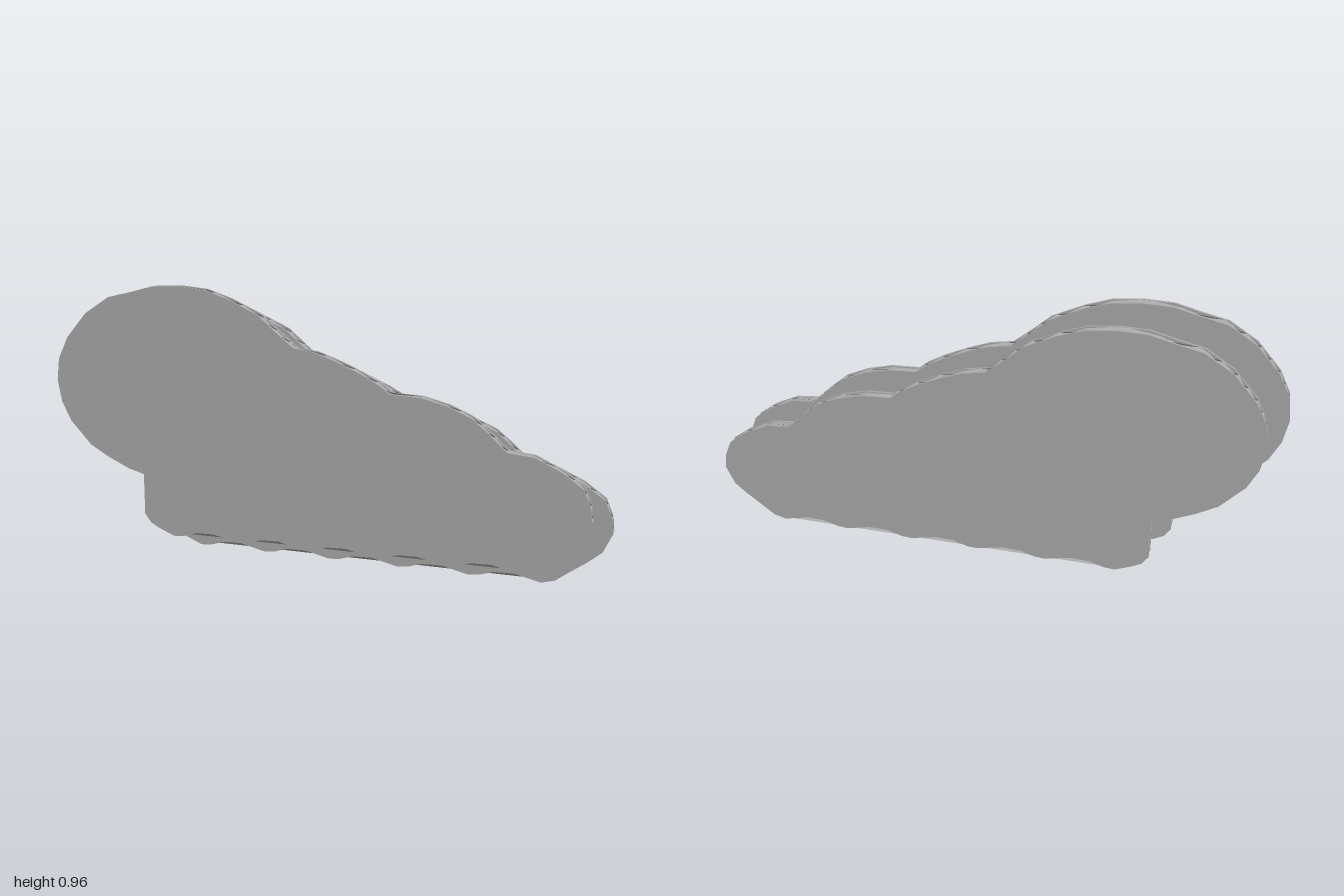
import * as THREE from 'three';

// Cloud outline, clockwise from the far left
const upper = [
  [-1, 0.61], [-0.99, 0.69], [-0.95, 0.77], [-0.87, 0.86], [-0.775, 0.92], [-0.685, 0.94],
  [-0.6, 0.962], [-0.5, 0.965], [-0.4, 0.955], [-0.31, 0.925], [-0.2, 0.875], [-0.13, 0.815],
  [-0.07, 0.767], [0.01, 0.754], [0.09, 0.725], [0.17, 0.69], [0.235, 0.655], [0.27, 0.628],
  [0.375, 0.623], [0.465, 0.6], [0.545, 0.565], [0.6, 0.52], [0.665, 0.46], [0.75, 0.452],
  [0.84, 0.41], [0.91, 0.36], [0.935, 0.3], [0.94, 0.25], [0.91, 0.185], [0.865, 0.147],
  [0.8, 0.1], [0.76, 0.07],
];
const lower = [
  [-0.6, 0.083], [-0.632, 0.1], [-0.655, 0.132], [-0.655, 0.28], [-0.715, 0.297],
  [-0.8, 0.335], [-0.87, 0.375], [-0.95, 0.46], [-0.985, 0.53],
];
// Scalloped bottom edge
const scallops = [];
for (let i = 5; i >= 0; i--) {
  const x = -0.54 + i * 0.251;
  if (i < 5) scallops.push([x + 0.16, 0.079], [x + 0.09, 0.077], [x + 0.04, 0.061]);
  scallops.push([x, 0.058]);
}
const outline = [...upper, ...scallops, ...lower];

function slab(name, depth, z, material, sx = 1, sy = 1, cx = 0, cy = 0) {
  const pts = outline.map(([x, y]) => new THREE.Vector2(cx + (x - cx) * sx, cy + (y - cy) * sy));
  const geo = new THREE.ExtrudeGeometry(new THREE.Shape(pts), { depth, bevelEnabled: false });
  const mesh = new THREE.Mesh(geo, material);
  mesh.name = name;
  mesh.position.z = z;
  return mesh;
}

// Horizontal extent of the outline at one height
function extent(y) {
  const xs = [];
  outline.forEach(([x0, y0], i) => {
    const [x1, y1] = outline[(i + 1) % outline.length];
    if ((y0 - y) * (y1 - y) < 0) xs.push(x0 + ((y - y0) / (y1 - y0)) * (x1 - x0));
  });
  return [Math.min(...xs), Math.max(...xs)];
}

// Zigzag sheet with flutes along x, cut to the outline
function fluteSheet(material) {
  const pos = [], index = [];
  const rows = 90;
  for (let i = 0; i <= rows; i++) {
    const y = 0.0591 + (0.9049 * i) / rows;
    const z = [-0.013, 0, 0.013, 0][i % 4];
    const [a, b] = extent(y);
    pos.push(a, y, z, b, y, z);
    if (i < rows) {
      const k = i * 2;
      index.push(k, k + 1, k + 3, k, k + 3, k + 2);
    }
  }
  const geo = new THREE.BufferGeometry();
  geo.setAttribute('position', new THREE.Float32BufferAttribute(pos, 3));
  geo.setIndex(index);
  const flat = geo.toNonIndexed();
  flat.computeVertexNormals();
  const mesh = new THREE.Mesh(flat, material);
  mesh.name = 'fluteSheet';
  return mesh;
}

export function createModel() {
  const card = new THREE.MeshStandardMaterial({ color: 0xaaaaaa, side: THREE.DoubleSide });
  card.name = 'grey card';
  const model = new THREE.Group();
  model.name = 'layeredCloud';

  // Two corrugated clouds, the back one shifted right and down
  for (const [name, x, y, z] of [['frontCloud', 0, 0, 0.0525], ['backCloud', 0.06, -0.058, -0.0525]]) {
    const cloud = new THREE.Group();
    cloud.name = name;
    cloud.add(
      slab('frontLiner', 0.009, 0.0135, card),
      slab('backLiner', 0.009, -0.0225, card),
      slab('core', 0.027, -0.0135, card, 0.992, 0.985, -0.1, 0.4),
      fluteSheet(card),
    );
    cloud.position.set(x, y, z);
    model.add(cloud);
  }

  // Small spacer cloud holding the two apart
  const spacer = slab('spacer', 0.06, -0.03, card, 0.619, 0.43);
  spacer.position.x = -0.091;
  spacer.position.y = 0.265;
  model.add(spacer);
  return model;
}
